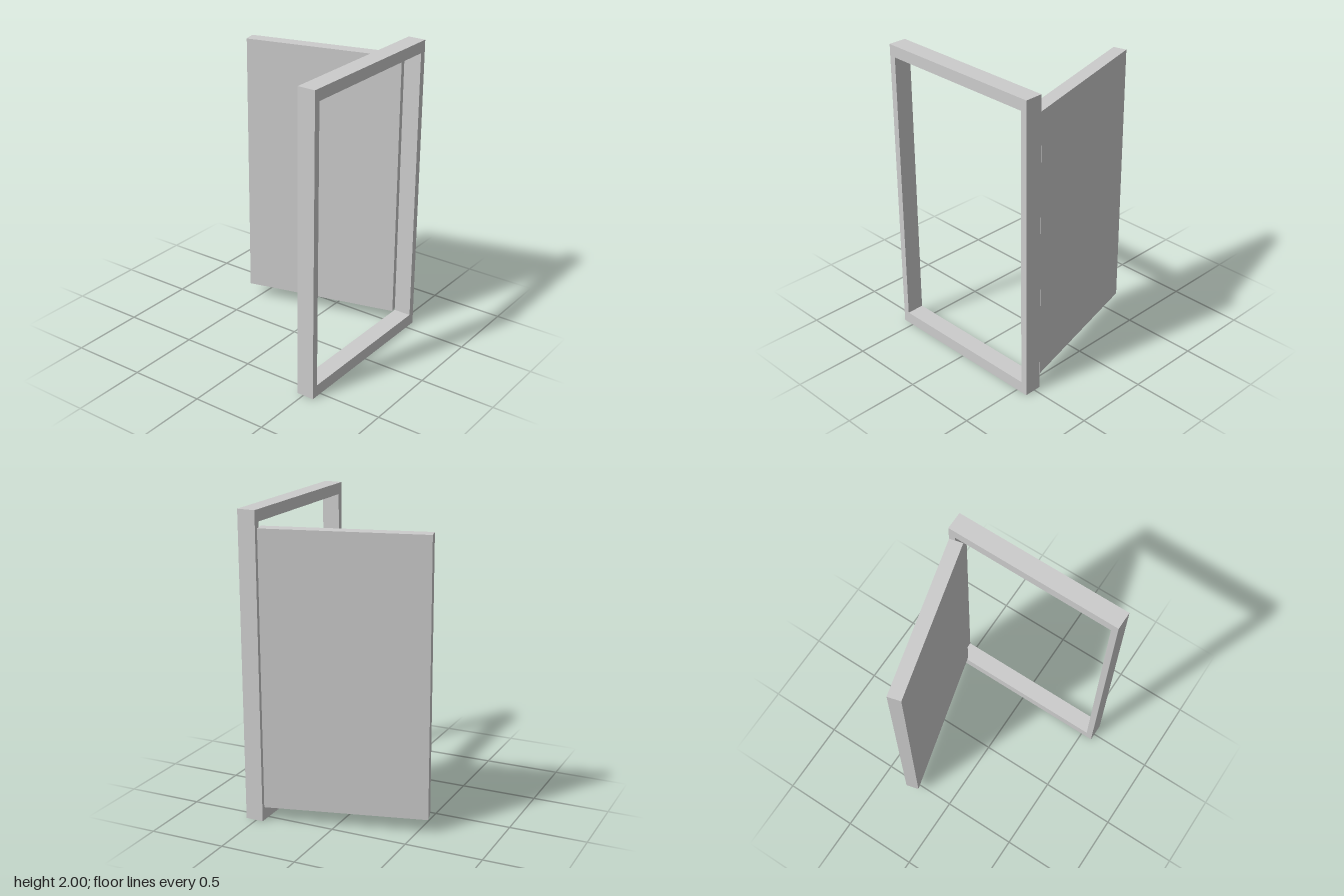
import * as THREE from 'three';

const material = new THREE.MeshStandardMaterial({ color: 0xcccccc, flatShading: true });

function rectangle(path, x0, y0, x1, y1) {
  path.moveTo(x0, y0);
  path.lineTo(x1, y0);
  path.lineTo(x1, y1);
  path.lineTo(x0, y1);
  path.closePath();
  return path;
}

export function createModel() {
  const group = new THREE.Group();
  group.name = 'openDoor';

  // Door frame: rectangular surround with one opening
  const outline = rectangle(new THREE.Shape(), -0.58, 0, 0.58, 2);
  outline.holes.push(rectangle(new THREE.Path(), -0.537, 0.078, 0.537, 1.925));
  const frame = new THREE.Mesh(
    new THREE.ExtrudeGeometry(outline, { depth: 0.118, bevelEnabled: false }),
    material
  );
  frame.name = 'doorFrame';
  frame.position.z = 0.454;
  group.add(frame);

  // Door leaf: plain slab swung open to the back
  const leaf = new THREE.Mesh(new THREE.BoxGeometry(0.089, 1.795, 1.05), material);
  leaf.name = 'doorLeaf';
  leaf.position.set(0.398, 0.993, -0.053);
  leaf.rotation.y = THREE.MathUtils.degToRad(14.4);
  group.add(leaf);

  return group;
}
